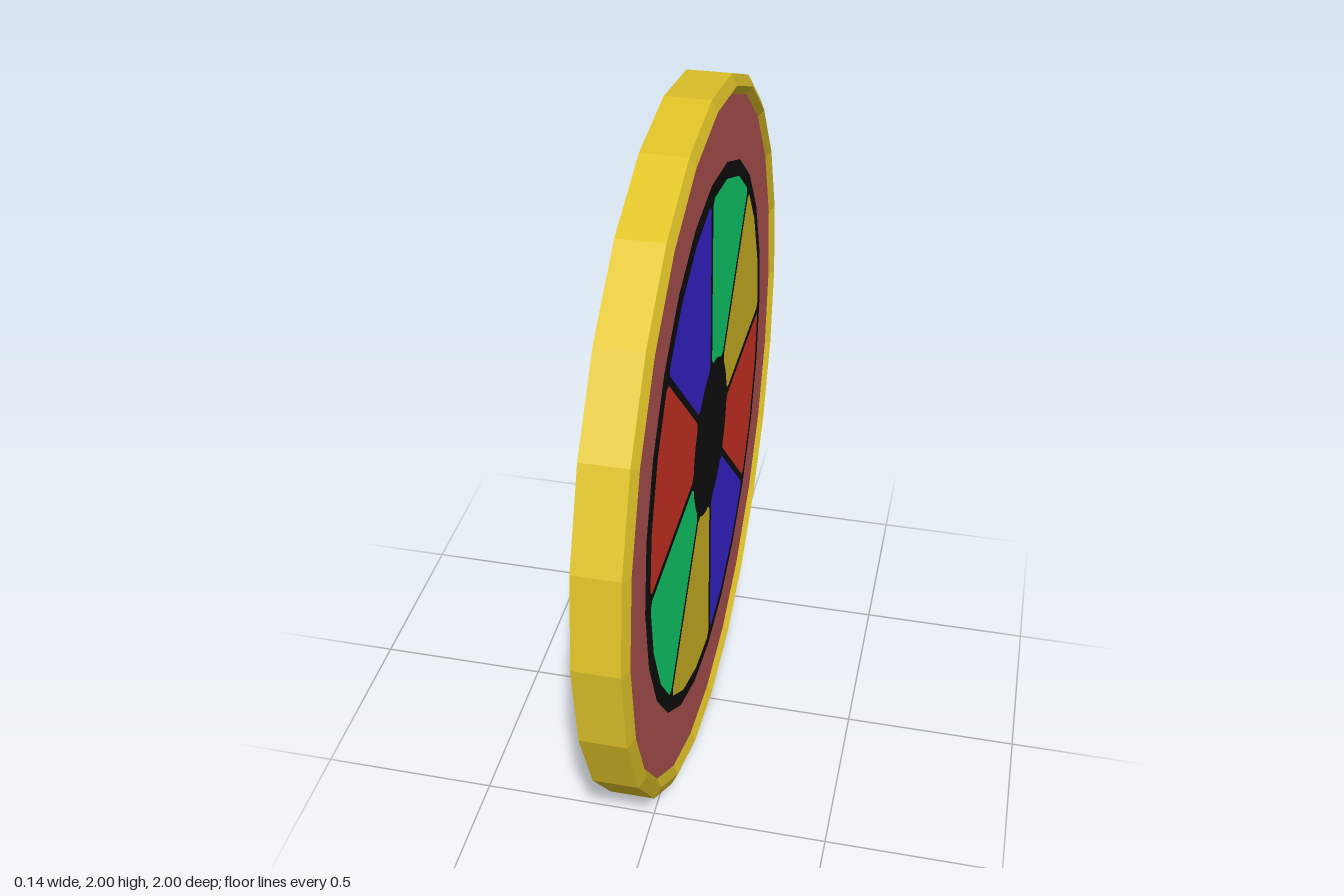
import * as THREE from 'three';

const SIDES = 24;
const FACE = 0.053; // height of the recessed face

function makeMaterial(name, color) {
  const m = new THREE.MeshStandardMaterial({ color });
  m.name = name;
  return m;
}

// Sector with parallel gaps beside the spokes and softened corners
function wedgeShape(start) {
  const inner = 0.225, outer = 0.725, gap = 0.011, cut = 0.018;
  const end = start + Math.PI / 4;
  const edge = (r, w, side) => {
    const offset = Math.asin(w / r);
    return side > 0 ? [r, start + offset] : [r, end - offset];
  };
  const polar = [
    edge(inner + cut, gap, 1), edge(outer - cut, gap, 1), edge(outer - 0.002, gap + cut, 1),
    [outer, start + Math.PI / 12], [outer, start + Math.PI / 6],
    edge(outer - 0.002, gap + cut, -1), edge(outer - cut, gap, -1), edge(inner + cut, gap, -1),
  ];
  // Inner edge follows the round hub
  for (let i = 0; i <= 6; i++) {
    const a0 = edge(inner, gap + cut, -1)[1], a1 = edge(inner, gap + cut, 1)[1];
    polar.push([inner, a0 + (a1 - a0) * i / 6]);
  }
  return new THREE.Shape(polar.map(([r, a]) => new THREE.Vector2(r * Math.cos(a), r * Math.sin(a))));
}

export function createModel() {
  const gold = makeMaterial('gold', 0xe0c428);
  const pink = makeMaterial('dusty pink', 0xbc5a57);
  const black = makeMaterial('black', 0x0f0f0f);
  const red = makeMaterial('red', 0xe03827);
  const green = makeMaterial('green', 0x10e074);
  const blue = makeMaterial('blue', 0x3c26e0);

  const model = new THREE.Group();
  model.name = 'wheel';
  const disc = new THREE.Group();
  disc.name = 'disc';
  model.add(disc);

  const add = (name, geometry, material, z = 0) => {
    const mesh = new THREE.Mesh(geometry, material);
    mesh.name = name;
    mesh.position.z = z;
    disc.add(mesh);
  };

  // Faceted body: flat back, straight side, raised bevelled lip
  const profile = [[0, -0.068], [1, -0.068], [1, 0.053], [0.969, 0.068], [0.947, FACE]]
    .map(([r, y]) => new THREE.Vector2(r, y));
  const body = new THREE.LatheGeometry(profile, SIDES).rotateX(Math.PI / 2).toNonIndexed();
  body.computeVertexNormals();
  add('body', body, gold);

  // Face layers
  add('facePanel', new THREE.CircleGeometry(0.947, SIDES), pink, FACE);
  add('ringAndSpokes', new THREE.CircleGeometry(0.77, SIDES), black, FACE + 0.002);
  add('hub', new THREE.CircleGeometry(0.225, 40), black, FACE + 0.004);

  // Eight coloured wedges, anticlockwise
  [gold, green, blue, red, green, gold, blue, red].forEach((material, i) => {
    add('wedge' + (i + 1), new THREE.ShapeGeometry(wedgeShape(i * Math.PI / 4)), material, FACE + 0.004);
  });

  // Stand the disc upright with its painted face to +x
  disc.rotation.y = Math.PI / 2;
  disc.position.y = 1;
  return model;
}
